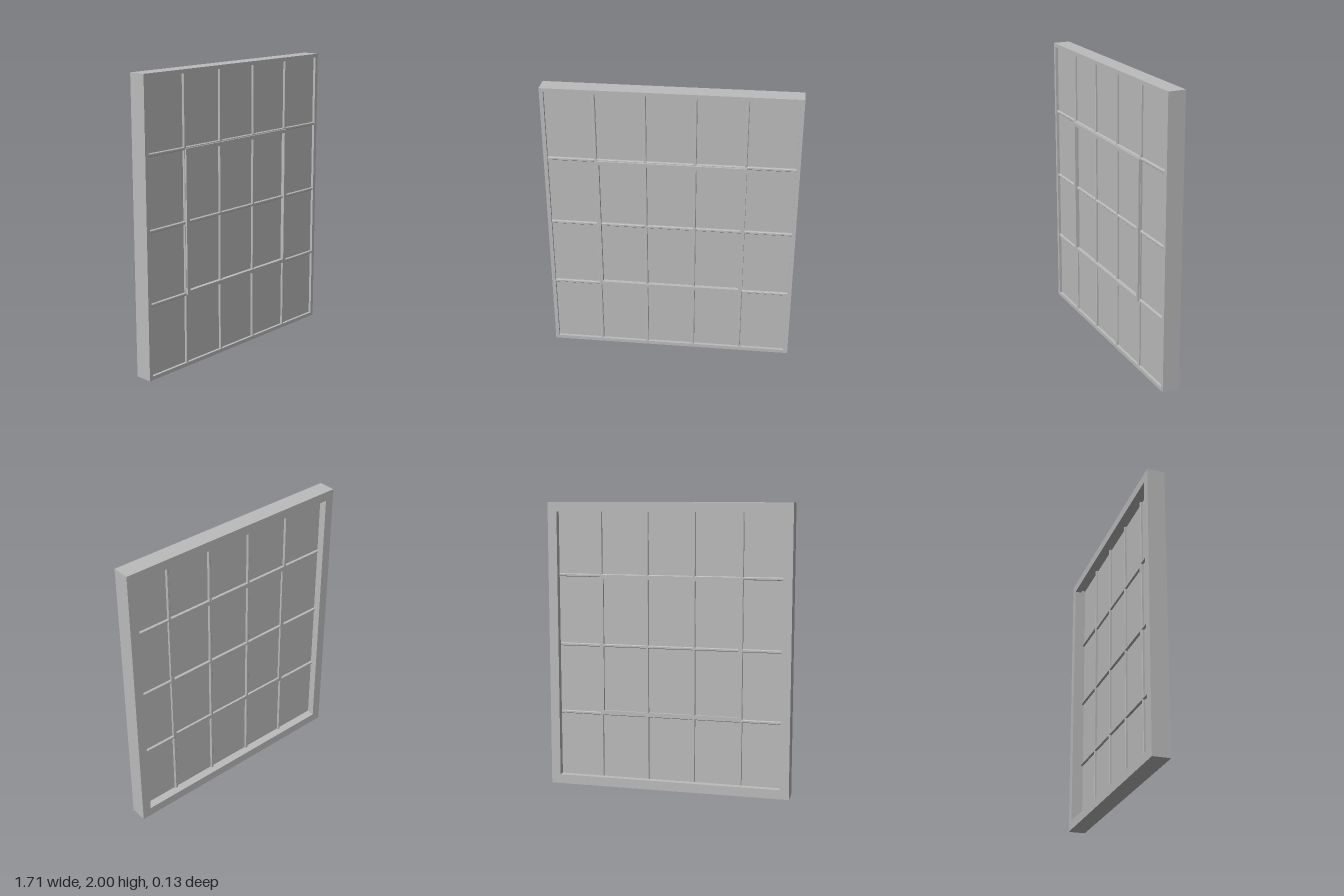
import * as THREE from 'three';

export function createModel() {
  const group = new THREE.Group();
  group.name = 'window';
  const grey = new THREE.MeshStandardMaterial({ color: 0xbc_bc_bc });
  grey.name = 'windowGrey';

  const add = (geometry, name) => {
    const mesh = new THREE.Mesh(geometry, grey);
    mesh.name = name;
    group.add(mesh);
    return mesh;
  };

  const rect = (path, a, b) => {
    path.moveTo(-a, -b);
    path.lineTo(a, -b);
    path.lineTo(a, b);
    path.lineTo(-a, b);
    path.closePath();
    return path;
  };

  // Rectangular ring in the x-y plane, extruded from z0 to z1
  const ring = (name, w, h, border, z0, z1) => {
    const shape = rect(new THREE.Shape(), w / 2, h / 2);
    shape.holes.push(rect(new THREE.Path(), w / 2 - border, h / 2 - border));
    const geometry = new THREE.ExtrudeGeometry(shape, { depth: z1 - z0, bevelEnabled: false });
    geometry.translate(0, 1, z0);
    add(geometry, name);
  };

  // Glazing bar with chamfered front and back edges
  const bar = (name, length, x, y, horizontal) => {
    const a = 0.01, back = 0.01, front = 0.051, c = 0.004;
    const profile = [[-a, back + c], [-a + c, back], [a - c, back], [a, back + c],
      [a, front - c], [a - c, front], [-a + c, front], [-a, front - c]];
    const shape = new THREE.Shape(profile.map(([u, z]) => new THREE.Vector2(u, -z)));
    const geometry = new THREE.ExtrudeGeometry(shape, { depth: length, bevelEnabled: false });
    geometry.translate(0, 0, -length / 2);
    geometry.rotateX(-Math.PI / 2); // stand the bar upright
    if (horizontal) geometry.rotateZ(Math.PI / 2);
    geometry.translate(x, y, 0);
    add(geometry, name);
  };

  // Outer frame: narrow rim with a wider flange behind
  ring('outerFrameRim', 1.71, 2, 0.026, -0.02, 0.055);
  ring('outerFrameFlange', 1.71, 2, 0.065, -0.065, -0.02);

  // Thin glass sheet
  const glass = add(new THREE.BoxGeometry(1.67, 1.96, 0.01), 'glass');
  glass.position.set(0, 1, 0.031);

  // Full-length glazing bars
  for (const x of [-0.503, -0.17, 0.163, 0.498]) bar('verticalBar', 1.96, x, 1, false);
  for (const y of [0.51, 1, 1.492]) bar('horizontalBar', 1.67, 0, y, true);

  // Raised opening sash around the six middle panes
  ring('sash', 1.014, 0.986, 0.026, 0.01, 0.063);

  return group;
}
